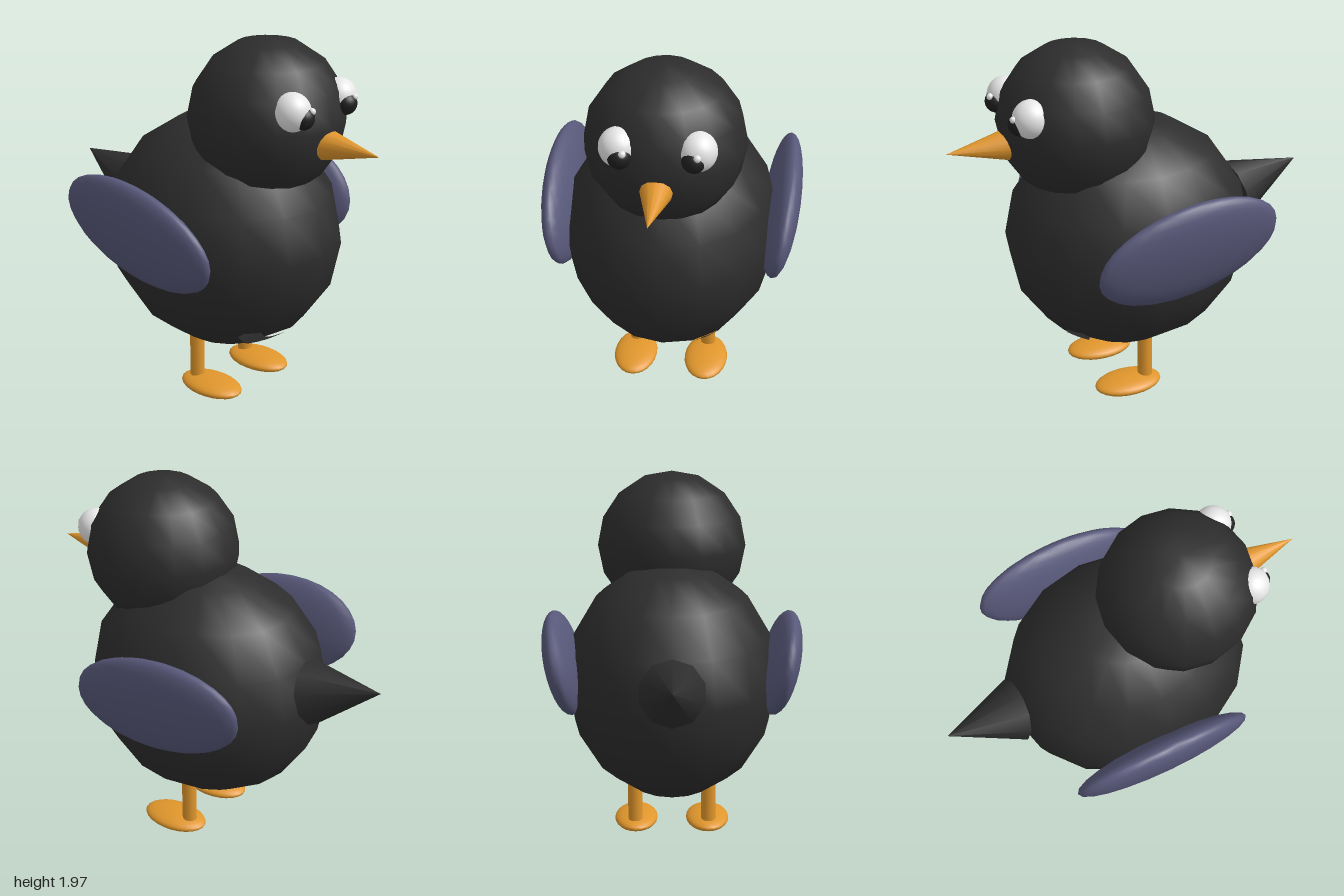
import * as THREE from 'three';

const mat = (name, color) => {
  const m = new THREE.MeshStandardMaterial({ color });
  m.name = name;
  return m;
};

export function createModel() {
  const bird = new THREE.Group();
  bird.name = 'bird';

  const black = mat('black feathers', 0x2d2d2d);
  const slate = mat('slate wing', 0x58587a);
  const orange = mat('orange', 0xe0962c);
  const grey = mat('grey belly', 0x4c4c4c);
  const white = mat('eye white', 0xf4f4f4);
  const pupilBlack = mat('pupil black', 0x1f1f1f);

  const add = (name, geometry, material, pos) => {
    const mesh = new THREE.Mesh(geometry, material);
    mesh.name = name;
    mesh.position.set(...pos);
    bird.add(mesh);
    return mesh;
  };
  // Ellipsoid with given half sizes
  const ellipsoid = (name, material, pos, [rx, ry, rz], w = 24, h = 16) =>
    add(name, new THREE.SphereGeometry(1, w, h).scale(rx, ry, rz), material, pos);

  // Body and head
  const center = [0, 0.89, 0.03];
  const radii = [0.57, 0.64, 0.67];
  ellipsoid('body', black, center, radii, 16, 8);
  ellipsoid('head', black, [0, 1.565, 0.32], [0.405, 0.405, 0.405], 16, 8);

  // Crescent belly patch: a sheet laid over the lower front of the body
  const patch = new THREE.PlaneGeometry(2, 1, 24, 4);
  const p = patch.attributes.position;
  for (let i = 0; i < p.count; i++) {
    const u = p.getX(i);
    const lower = 0.3 + 0.15 * u * u;
    const upper = 0.41 + 0.07 * Math.min(1, (u / 0.75) ** 4);
    const x = 0.29 * u;
    const y = THREE.MathUtils.lerp(lower, upper, p.getY(i) + 0.5);
    const k = 1 - (x / radii[0]) ** 2 - ((y - center[1]) / radii[1]) ** 2;
    p.setXYZ(i, x, y, center[2] + radii[2] * Math.sqrt(k) + 0.003);
  }
  patch.computeVertexNormals();
  add('bellyPatch', patch, grey, [0, 0, 0]);

  // Beak and tail cones
  const beak = add('beak', new THREE.ConeGeometry(0.08, 0.31, 12), orange, [0, 1.487, 0.845]);
  beak.rotation.x = Math.PI / 2;
  const tail = add('tail', new THREE.ConeGeometry(0.17, 0.4, 10), black, [0, 1.053, -0.81]);
  tail.rotation.x = -Math.PI / 2 + 0.29;

  // Mirrored parts
  for (const [side, s] of [['left', 1], ['right', -1]]) {
    const wing = ellipsoid(side + 'Wing', slate, [s * 0.577, 1, -0.05], [0.09, 0.28, 0.5]);
    wing.rotation.set(0.17, 0, -s * 0.2);

    add(side + 'Leg', new THREE.CylinderGeometry(0.04, 0.04, 0.28, 12), orange, [s * 0.203, 0.19, 0.02]);
    ellipsoid(side + 'Foot', orange, [s * 0.2, 0.045, 0.12], [0.12, 0.043, 0.19]);

    ellipsoid(side + 'Eye', white, [s * 0.187, 1.677, 0.62], [0.093, 0.097, 0.095]);
    ellipsoid(side + 'Pupil', pupilBlack, [s * 0.173, 1.655, 0.675], [0.058, 0.058, 0.058]);
    ellipsoid(side + 'EyeGlint', white, [s * 0.173 + 0.02, 1.69, 0.713], [0.018, 0.018, 0.018], 12, 8);
  }

  return bird;
}
